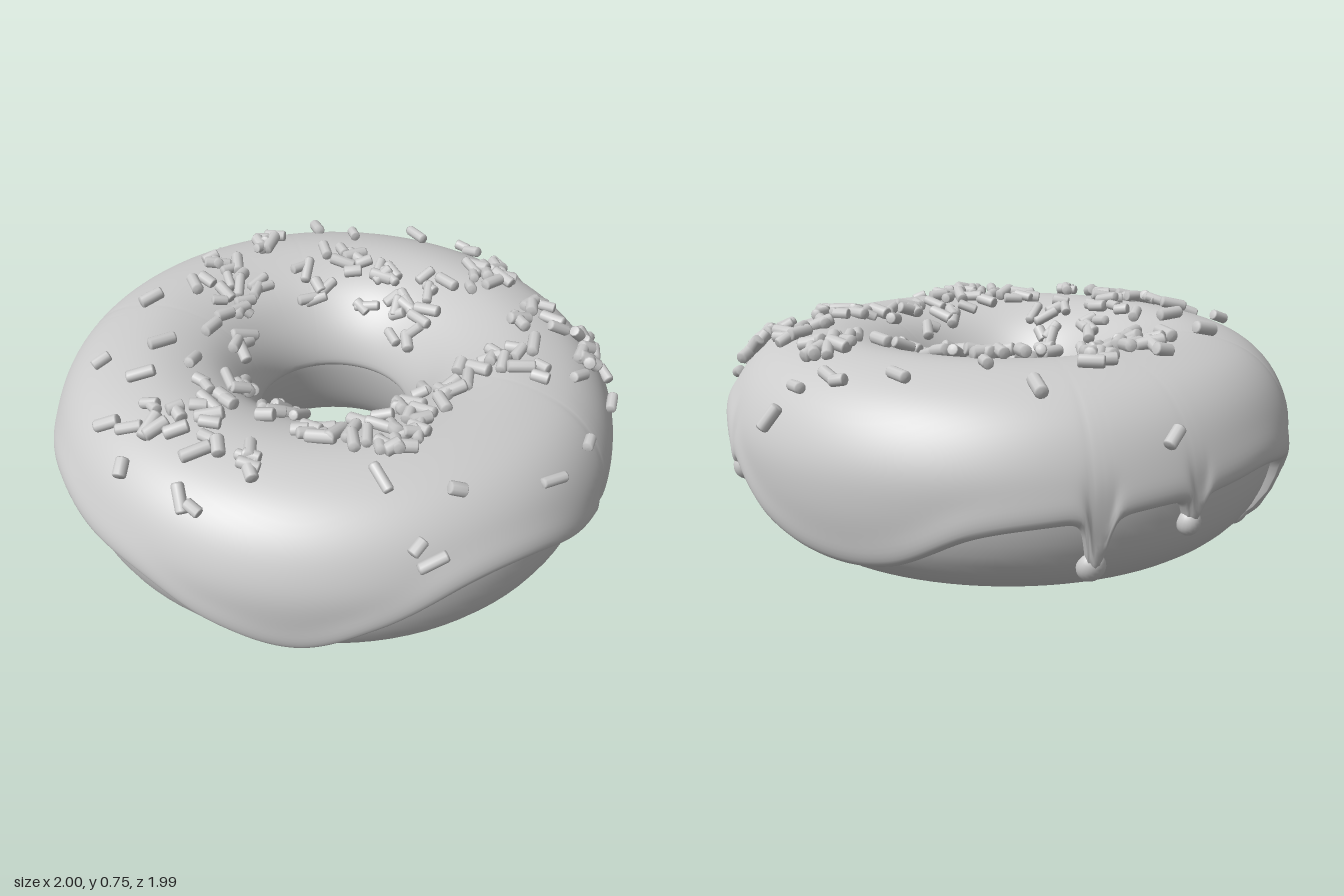
import * as THREE from 'three';

const material = new THREE.MeshStandardMaterial({ color: 0xcccccc });
const TAU = Math.PI * 2;

// Ring cross-section (radius, height): flat bottom, outside, top, hole
const section = new THREE.SplineCurve([
  [0.54, 0], [0.65, 0], [0.78, 0.035], [0.88, 0.12], [0.93, 0.22], [0.95, 0.34], [0.94, 0.45],
  [0.88, 0.56], [0.78, 0.63], [0.62, 0.66], [0.46, 0.62], [0.36, 0.53], [0.31, 0.42],
  [0.32, 0.3], [0.37, 0.15], [0.44, 0.04], [0.54, 0],
].map(([r, y]) => new THREE.Vector2(r, y)));
const STEPS = 400;
const LENGTH = section.getLength();
const table = section.getSpacedPoints(STEPS);
table.forEach((p) => { p.y = Math.max(0, p.y); });

// Point and outward normal at a distance along the cross-section
function at(s) {
  const f = THREE.MathUtils.clamp((s / LENGTH) * STEPS, 1, STEPS - 1.001);
  const i = Math.floor(f);
  const p = table[i].clone().lerp(table[i + 1], f - i);
  const t0 = table[i + 1].clone().sub(table[i - 1]);
  const t1 = table[Math.min(i + 2, STEPS)].clone().sub(table[i]);
  const t = t0.lerp(t1, f - i).normalize();
  return { p, n: new THREE.Vector2(t.y, -t.x) };
}

// Distance along the outside wall at which a height is reached
function outerDistance(y) {
  let i = 20;
  while (table[i].y < y) i++;
  const f = (y - table[i - 1].y) / (table[i].y - table[i - 1].y || 1);
  return ((i - 1 + THREE.MathUtils.clamp(f, 0, 1)) / STEPS) * LENGTH;
}

// Distance along the cross-section where the upper surface has a given radius
function topDistance(r) {
  let i = 0;
  while (table[i].y < 0.4 || table[i].x > r) i++;
  return (i / STEPS) * LENGTH;
}

// Height of the wavy icing edge every 15 degrees, from +x towards +z
const EDGE = [
  0.31, 0.39, 0.39, 0.29, 0.19, 0.24, 0.33, 0.35, 0.37, 0.33, 0.28, 0.30,
  0.34, 0.33, 0.32, 0.30, 0.26, 0.15, 0.13, 0.19, 0.36, 0.41, 0.32, 0.26,
];
// Drips: angle in degrees, end height, half width, bead radius
const DRIPS = [
  [347, 0.10, 0.03, 0.05], [299, 0.30, 0.03, 0.038], [219, 0.15, 0.034, 0.045],
  [200, 0.25, 0.03, 0.038], [158, 0.06, 0.04, 0.045],
];

function edgeHeight(a) {
  const f = (a / TAU) * 24;
  const i = Math.floor(f);
  const t = f - i;
  const [p0, p1, p2, p3] = [-1, 0, 1, 2].map((k) => EDGE[(i + k + 24) % 24]);
  let y = p1 + 0.5 * t * (p2 - p0 + t * (2 * p0 - 5 * p1 + 4 * p2 - p3 + t * (3 * (p1 - p2) + p3 - p0)));
  for (const [deg, end, w] of DRIPS) {
    let d = Math.abs(a - THREE.MathUtils.degToRad(deg));
    d = Math.min(d, TAU - d) * 0.95;
    y -= (y - end) / (1 + (d / w) ** 4);
  }
  return y;
}

const THICK = 0.04;
const RIM = 0.035;

// Icing shell: follows the ring, with a rounded rim along its wavy edge
function icingGeometry() {
  const COLS = 600, ROWS = 60, NEAR = 6;
  const start = Array.from({ length: COLS }, (_, i) => outerDistance(edgeHeight((i / COLS) * TAU)));
  let last = STEPS;
  while (table[last].y < 0.36) last--;
  const end = (last / STEPS) * LENGTH;
  const pos = [], index = [];
  for (let i = 0; i < COLS; i++) {
    const a = (i / COLS) * TAU;
    for (let j = 0; j <= ROWS; j++) {
      const s = THREE.MathUtils.lerp(end, start[i], THREE.MathUtils.smoothstep(j / ROWS, 0, 1));
      // nearest distance to the edge of the iced area
      let d = end - s;
      for (let k = -NEAR; k <= NEAR; k++) {
        const gap = Math.max(0, s - start[(i + k + COLS) % COLS]);
        d = Math.min(d, Math.hypot((k * TAU * 0.93) / COLS, gap));
      }
      const x = Math.min(1, d / RIM);
      const bead = 0.01 * Math.exp(-(((s - start[i] - 0.05) / 0.05) ** 2));
      const h = -0.004 + (THICK + 0.004 + bead) * Math.sqrt(1 - (1 - x) ** 2);
      const { p, n } = at(s);
      const r = p.x + n.x * h;
      pos.push(r * Math.cos(a), Math.max(0, p.y + n.y * h), r * Math.sin(a));
      if (j < ROWS) {
        const A = i * (ROWS + 1) + j;
        const B = ((i + 1) % COLS) * (ROWS + 1) + j;
        index.push(A, B, A + 1, B, B + 1, A + 1);
      }
    }
  }
  const g = new THREE.BufferGeometry();
  g.setAttribute('position', new THREE.Float32BufferAttribute(pos, 3));
  g.setIndex(index);
  g.computeVertexNormals();
  return g;
}

// Position and normal in space at an angle and distance along the section
function onSurface(a, s, lift) {
  const { p, n } = at(s);
  const normal = new THREE.Vector3(n.x * Math.cos(a), n.y, n.x * Math.sin(a));
  const point = new THREE.Vector3(p.x * Math.cos(a), p.y, p.x * Math.sin(a));
  return { point: point.addScaledVector(normal, lift), normal };
}

// Sprinkle clusters: x, z, spread in x, spread in z, count
const CLUSTERS = [
  [-0.05, -0.43, 0.23, 0.12, 26], [0.2, -0.65, 0.1, 0.13, 12], [0.6, -0.52, 0.16, 0.1, 18],
  [0.65, -0.28, 0.13, 0.1, 11], [0.46, 0.08, 0.08, 0.22, 19], [0.48, 0.4, 0.12, 0.12, 13],
  [0.2, 0.43, 0.18, 0.08, 17], [-0.05, 0.62, 0.15, 0.13, 17], [0.18, 0.66, 0.06, 0.05, 5],
  [-0.15, 0.37, 0.05, 0.06, 6], [-0.55, -0.04, 0.13, 0.12, 19], [-0.4, 0.17, 0.07, 0.08, 6],
  [-0.33, -0.35, 0.08, 0.16, 9], [-0.66, -0.34, 0.12, 0.08, 6], [-0.25, 0.71, 0.07, 0.06, 4],
];
// Single sprinkles: x, z
const SINGLES = [
  [-0.17, -0.77], [0, -0.83], [0.05, -0.82], [0.15, -0.85], [0.2, -0.9], [-0.53, -0.6], [-0.35, -0.6],
  [-0.85, -0.4], [0.85, -0.43], [0.88, -0.12], [0.88, 0.1], [0.72, 0.38], [0.7, 0.56], [0.78, 0.57],
  [-0.53, 0.57], [-0.35, 0.58], [-0.65, 0.22], [-0.15, 0.85], [0.09, 0.85], [0.14, 0.85],
  [-0.44, 0.41], [-0.3, 0.42],
];

let seed = 7;
function random() {
  seed = (seed * 16807) % 2147483647;
  return seed / 2147483647;
}

function addSprinkles(group) {
  // Short rod with softened ends
  const rod = new THREE.LatheGeometry(
    [[0, -0.5], [0.8, -0.49], [1, -0.42], [1, 0.42], [0.8, 0.49], [0, 0.5]]
      .map(([x, y]) => new THREE.Vector2(x, y)), 10);
  const spots = [...SINGLES];
  for (const [x, z, dx, dz, count] of CLUSTERS) {
    for (let i = 0; i < count; i++) spots.push([x + dx * (2 * random() - 1), z + dz * (2 * random() - 1)]);
  }
  for (const [x, z] of spots) {
    const r = THREE.MathUtils.clamp(Math.hypot(x, z), 0.35, 0.92);
    const { point, normal } = onSurface(Math.atan2(z, x), topDistance(r), THICK + 0.013 + 0.012 * random());
    const turn = random() * TAU;
    const dir = new THREE.Vector3(Math.cos(turn), 0, Math.sin(turn)).projectOnPlane(normal).normalize();
    dir.addScaledVector(normal, 0.5 * (random() - 0.5)).normalize();
    const mesh = new THREE.Mesh(rod, material);
    mesh.name = 'sprinkle';
    mesh.position.copy(point);
    mesh.quaternion.setFromUnitVectors(new THREE.Vector3(0, 1, 0), dir);
    const width = 0.018 + 0.005 * random();
    mesh.scale.set(width, 0.055 + 0.05 * random(), width);
    group.add(mesh);
  }
}

export function createModel() {
  const model = new THREE.Group();
  model.name = 'doughnut';

  const dough = new THREE.Mesh(new THREE.LatheGeometry(table.filter((_, i) => i % 8 === 0), 96), material);
  dough.name = 'dough';
  const icing = new THREE.Mesh(icingGeometry(), material);
  icing.name = 'icing';
  model.add(dough, icing);

  // Rounded beads at the ends of the drips
  const ball = new THREE.SphereGeometry(1, 20, 14);
  for (const [deg, end, , size] of DRIPS) {
    const { point, normal } = onSurface(THREE.MathUtils.degToRad(deg), outerDistance(end), 0.012);
    const bead = new THREE.Mesh(ball, material);
    bead.name = 'dripBead';
    bead.position.copy(point);
    bead.position.y = Math.max(point.y, size * 1.15);
    bead.lookAt(bead.position.clone().add(normal));
    bead.scale.set(size, size * 1.15, 0.038);
    model.add(bead);
  }

  const sprinkles = new THREE.Group();
  sprinkles.name = 'sprinkles';
  addSprinkles(sprinkles);
  model.add(sprinkles);
  return model;
}
